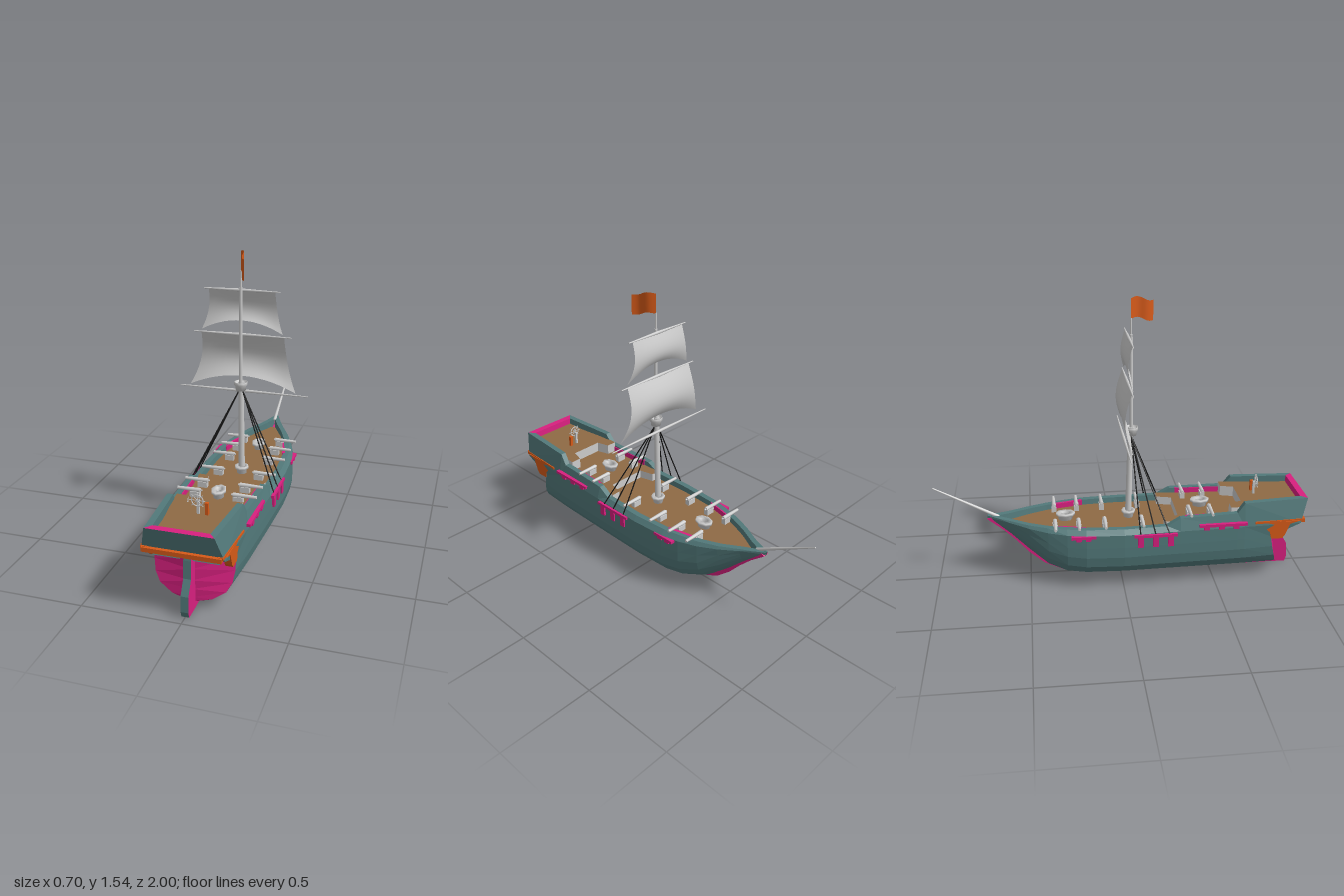
import * as THREE from 'three';

const mat = (color, opts = {}) => new THREE.MeshStandardMaterial({ color, side: THREE.DoubleSide, ...opts });
const teal = mat(0x52797a, { flatShading: true }), pink = mat(0xd8207f, { flatShading: true });
const brown = mat(0x8f6a45), orange = mat(0xd65a18), black = mat(0x151515), grey = mat(0xcccccc);
const lerp = THREE.MathUtils.lerp;

// Hull stations: z, keel height, half width, rail half width, rail height
const STATIONS = [
  [0.84, 0.03, 0.2, 0.165, 0.465], [0.65, 0.03, 0.215, 0.19, 0.462], [0.61, 0.03, 0.217, 0.195, 0.408],
  [0.3, 0.03, 0.228, 0.205, 0.4], [0.23, 0.03, 0.23, 0.208, 0.36], [0, 0.03, 0.235, 0.212, 0.355],
  [-0.2, 0.03, 0.225, 0.2, 0.355], [-0.3, 0.04, 0.205, 0.18, 0.355], [-0.4, 0.08, 0.172, 0.155, 0.355],
  [-0.5, 0.165, 0.128, 0.115, 0.357], [-0.6, 0.26, 0.07, 0.062, 0.362], [-0.66, 0.31, 0.037, 0.035, 0.366],
  [-0.72, 0.355, 0.008, 0.008, 0.373],
];
// Section rows: width fraction, height fraction, z at the stern
const ROWS = [[0, 0, 0.86], [0.08, 0, 0.855], [0.5, 0.07, 0.85], [0.82, 0.2, 0.84], [0.95, 0.34, 0.825],
  [1, 0.52, 0.81], [1, 0.7, 0.8], [0.99, 0.92, 0.96]];

function section([z, keel, w, topX, topY], stern) {
  const v = Math.min(1, (keel - 0.03) / 0.25) * 0.7;
  const h = Math.min(topY, 0.36) - keel;
  const pts = ROWS.map(([fx, fy, sz]) => [w * lerp(fx, fy ** 0.7, v), keel + h * fy, stern ? sz : z]);
  pts.push([topX, topY, stern ? 1 : z]);
  pts.push([Math.max(0, topX - 0.03), topY, stern ? 0.965 : z]);
  pts.push([Math.max(0, topX - 0.035), Math.max(0.32, keel), stern ? 0.955 : z]);
  return pts;
}

function geometryFrom(positions) {
  const g = new THREE.BufferGeometry();
  g.setAttribute('position', new THREE.Float32BufferAttribute(positions, 3));
  g.computeVertexNormals();
  return g;
}
const quad = (out, a, b, c, d) => out.push(...a, ...b, ...c, ...a, ...c, ...d);
const flip = ([x, y, z]) => [-x, y, z];

// Half width of the space between the bulwarks
function deckHalf(z) {
  const s = [[1, 0, 0, 0.16], ...STATIONS];
  for (let i = 1; i < s.length; i++) {
    if (z >= s[i][0]) return lerp(s[i][3], s[i - 1][3], (z - s[i][0]) / (s[i - 1][0] - s[i][0])) - 0.028;
  }
  return 0.001;
}

export function createModel() {
  const ship = new THREE.Group();
  ship.name = 'sailingShip';
  const add = (name, geo, material, x = 0, y = 0, z = 0) => {
    const m = new THREE.Mesh(geo, material);
    m.name = name;
    m.position.set(x, y, z);
    ship.add(m);
    return m;
  };
  const box = (name, w, h, d, material, x, y, z) => add(name, new THREE.BoxGeometry(w, h, d), material, x, y, z);
  const rod = (name, a, b, r0, r1, material = grey, sides = 8) => {
    const p = new THREE.Vector3(...a), q = new THREE.Vector3(...b), dir = q.clone().sub(p);
    const m = add(name, new THREE.CylinderGeometry(r1, r0, dir.length(), sides), material);
    m.position.copy(p).add(q).multiplyScalar(0.5);
    m.quaternion.setFromUnitVectors(new THREE.Vector3(0, 1, 0), dir.normalize());
  };
  // Side outline given as (z, y), extruded across x
  const sidePlate = (name, pts, width, material, x = 0) => {
    const g = new THREE.ExtrudeGeometry(new THREE.Shape(pts.map(p => new THREE.Vector2(...p))),
      { depth: width, bevelEnabled: false });
    add(name, g.rotateY(-Math.PI / 2).translate(width / 2, 0, 0), material, x);
  };

  // Hull planking and bulwarks
  const secs = STATIONS.map((s, i) => section(s, i === 0));
  const hull = [], transom = [], sternBoard = [];
  for (let i = 0; i < secs.length - 1; i++) {
    for (let j = 0; j < secs[i].length - 1; j++) {
      const [a, b, c, d] = [secs[i][j], secs[i + 1][j], secs[i + 1][j + 1], secs[i][j + 1]];
      quad(hull, a, b, c, d);
      quad(hull, flip(a), flip(d), flip(c), flip(b));
    }
  }
  // Stern, bulging slightly to the centre line
  const aft = secs[0];
  for (let j = 0; j < aft.length - 1; j++) {
    const [a, d] = [aft[j], aft[j + 1]];
    const mid = p => [0, p[1], Math.max(p[2], 0.86)];
    const out = j === 7 ? sternBoard : transom;
    quad(out, mid(a), a, d, mid(d));
    quad(out, flip(a), mid(a), mid(d), flip(d));
  }
  add('hull', geometryFrom(hull), teal);
  add('transom', geometryFrom(transom), pink);
  add('sternBoard', geometryFrom(sternBoard), teal);
  box('sternMoulding', 0.38, 0.022, 0.04, orange, 0, 0.345, 0.965);

  // Keel, stem and rudder
  sidePlate('keel', [[0.87, 0], [-0.15, 0], [-0.3, 0.015], [-0.42, 0.07], [-0.5, 0.14], [-0.57, 0.22],
    [-0.64, 0.29], [-0.72, 0.355], [-0.7, 0.365], [-0.6, 0.29], [-0.5, 0.19], [-0.4, 0.1], [-0.3, 0.05],
    [-0.15, 0.04], [0.87, 0.04]], 0.036, pink);
  sidePlate('rudder', [[0.85, 0], [0.945, 0], [0.955, 0.03], [0.95, 0.11], [0.91, 0.18], [0.903, 0.27],
    [0.885, 0.35], [0.85, 0.35]], 0.038, [pink, teal]);

  // Decks, the raised ones notched at the front
  const deck = (name, z0, z1, y, thick, notchX, notchZ) => {
    const right = [];
    for (let i = 0; i <= 16; i++) {
      const z = lerp(z1, z0, i / 16);
      right.push(new THREE.Vector2(deckHalf(z), z));
    }
    if (notchX) right.push(new THREE.Vector2(notchX, z0), new THREE.Vector2(notchX - 0.02, notchZ));
    const left = right.map(p => new THREE.Vector2(-p.x, p.y)).reverse();
    const g = new THREE.ExtrudeGeometry(new THREE.Shape([...right, ...left]), { depth: thick, bevelEnabled: false });
    add(name, g.rotateX(Math.PI / 2), [brown, grey], 0, y);
  };
  deck('mainDeck', -0.63, 0.4, 0.326, 0.01);
  deck('quarterDeck', 0.22, 0.7, 0.372, 0.05, 0.13, 0.3);
  deck('poopDeck', 0.58, 0.965, 0.43, 0.07, 0.11, 0.65);

  for (const s of [-1, 1]) {
    // Quarter gallery and its ledge
    sidePlate('quarterGallery', [[0.95, 0.35], [0.9, 0.335], [0.875, 0.27], [0.86, 0.25], [0.8, 0.25],
      [0.79, 0.29], [0.74, 0.335], [0.72, 0.35]], 0.036, orange, s * 0.187);
    box('galleryLedge', 0.03, 0.012, 0.27, orange, s * 0.189, 0.352, 0.84).rotation.y = -s * 0.06;
    // Brackets under the stern overhang
    for (const x of [0.065, 0.13]) {
      box('sternBracket', 0.024, 0.13, 0.03, teal, s * x, 0.295, 0.905).rotation.x = 1;
    }
    // Channels with chain plates: z range, height, plate drop, width, plate positions
    for (const [z0, z1, y, drop, x, plates] of [
      [0.05, 0.28, 0.322, 0.065, 0.225, [0.085, 0.165, 0.245]],
      [0.4, 0.66, 0.357, 0.025, 0.21, [0.44, 0.52, 0.6]],
      [-0.28, -0.15, 0.322, 0.02, 0.212, [-0.19, -0.24]]]) {
      box('channel', 0.036, 0.015, z1 - z0, pink, s * x, y, (z0 + z1) / 2);
      for (const z of plates) box('chainPlate', 0.024, drop, 0.03, pink, s * (x + 0.004), y - drop / 2, z);
    }
    // Coloured inner lining of the bulwark
    for (const [z0, z1, y] of [[0.33, 0.6, 0.386], [-0.37, -0.2, 0.34]]) {
      const x0 = deckHalf(z0), x1 = deckHalf(z1);
      box('bulwarkLining', 0.016, 0.03, z1 - z0, pink, s * (x0 + x1) / 2, y, (z0 + z1) / 2)
        .rotation.y = s * Math.atan2(x1 - x0, z1 - z0);
    }
    // Cannons on small carriages
    for (const z of [-0.36, -0.235, -0.095, 0.105, 0.36, 0.475]) {
      const y = z > 0.3 ? 0.41 : 0.363;
      rod('cannonBarrel', [s * 0.085, y, z], [s * 0.205, y, z], 0.012, 0.008);
      rod('cannonKnob', [s * 0.076, y, z], [s * 0.086, y, z], 0.005, 0.005);
      box('cannonCarriage', 0.05, 0.03, 0.026, grey, s * 0.112, y - 0.022, z);
    }
    // Shrouds
    for (const z of [0.085, 0.165, 0.24]) rod('shroud', [s * 0.01, 0.8, 0.058], [s * 0.232, 0.325, z], 0.0035, 0.0035, black, 5);
  }

  // Capstans and mast collar
  const ring = [[0.018, 0], [0.03, 0], [0.03, 0.022], [0.042, 0.026], [0.042, 0.04], [0.018, 0.04], [0.018, 0]];
  const ringGeo = new THREE.LatheGeometry(ring.map(p => new THREE.Vector2(...p)), 8);
  for (const [name, y, z] of [['foreCapstan', 0.326, -0.3], ['aftCapstan', 0.372, 0.44], ['mastCollar', 0.326, 0.045]]) {
    const m = add(name, ringGeo, grey, 0, y, z);
    m.scale.set(0.9, 1, name === 'mastCollar' ? 0.9 : 1.25);
  }

  // Mast, lookout, bowsprit
  rod('lowerMast', [0, 0.32, 0.044], [0, 0.85, 0.055], 0.018, 0.014, grey, 12);
  rod('topMast', [0, 0.8, 0.06], [0, 1.35, 0.056], 0.01, 0.008, grey, 10);
  rod('flagPole', [0, 1.34, 0.056], [0, 1.435, 0.055], 0.005, 0.004);
  const nest = [[0, 0], [0.026, 0], [0.029, 0.027], [0.036, 0.03], [0.036, 0.046], [0.03, 0.046], [0.027, 0.03], [0, 0.03]];
  add('lookout', new THREE.LatheGeometry(nest.map(p => new THREE.Vector2(...p)), 10), grey, 0, 0.805, 0.06);
  rod('bowsprit', [0, 0.36, -0.66], [0, 0.545, -1], 0.01, 0.004);

  // Yards, thinner toward the ends
  for (const [y, half, z] of [[0.788, 0.35, 0.02], [1.1, 0.26, 0.038], [1.333, 0.2, 0.044]]) {
    for (const s of [-1, 1]) rod('yard', [0, y, z], [s * half, y, z], 0.0085, 0.003);
  }

  // Billowed sails with arched feet
  const sail = (name, yTop, yFoot, wTop, wFoot, arch, z0, bulge) => {
    const g = new THREE.PlaneGeometry(2, 1, 14, 10), p = g.attributes.position;
    for (let i = 0; i < p.count; i++) {
      const u = p.getX(i), t = 0.5 - p.getY(i);
      p.setXYZ(i, u * lerp(wTop, wFoot, t ** 2.4), lerp(yTop, yFoot, t) + arch * t * t * (1 - u * u),
        z0 - bulge * Math.sin(Math.PI * t) * (1 - 0.2 * u * u));
    }
    g.computeVertexNormals();
    add(name, g, grey);
  };
  sail('topSail', 1.332, 1.115, 0.175, 0.216, 0.06, 0.042, 0.026);
  sail('mainSail', 1.1, 0.805, 0.222, 0.287, 0.07, 0.034, 0.042);

  // Waving flag
  const flag = new THREE.PlaneGeometry(1, 1, 10, 3), fp = flag.attributes.position;
  for (let i = 0; i < fp.count; i++) {
    const t = fp.getX(i) + 0.5, v = fp.getY(i);
    fp.setXYZ(i, 0.055 * t + 0.01 * Math.sin(t * 6), 1.482 + v * 0.105 - 0.014 * t + 0.009 * Math.sin(t * 5.5), 0.055 + t * 0.12);
  }
  flag.computeVertexNormals();
  add('flag', flag, orange);

  // Steering wheel, stand and compass stand
  add('wheelRim', new THREE.TorusGeometry(0.028, 0.003, 6, 20), grey, 0, 0.503, 0.755);
  for (let k = 0; k < 4; k++) {
    const a = k * Math.PI / 4, c = 0.04 * Math.cos(a), s = 0.04 * Math.sin(a);
    rod('wheelSpoke', [-c, 0.503 - s, 0.755], [c, 0.503 + s, 0.755], 0.002, 0.002, grey, 5);
  }
  box('wheelStand', 0.012, 0.075, 0.012, grey, 0, 0.465, 0.742);
  box('compassStand', 0.016, 0.06, 0.016, orange, 0.042, 0.46, 0.74);

  return ship;
}
